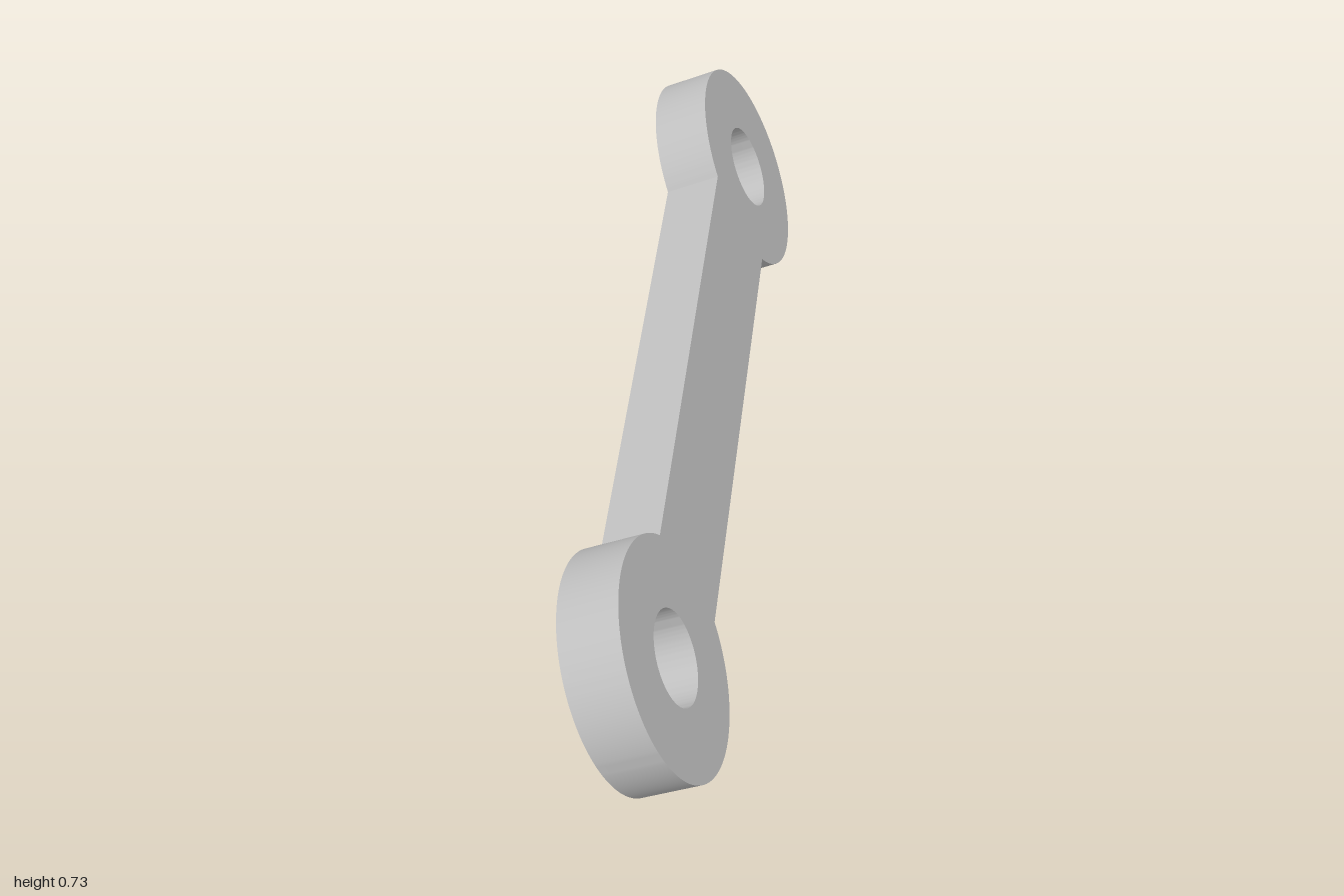
import * as THREE from 'three';
import { toCreasedNormals } from 'three/addons/utils/BufferGeometryUtils.js';

const RING = 0.2375, HOLE = 0.095, HALF_BAR = 0.126, THICK = 0.125;
const HALF_Z = 0.7625, HALF_V = 0.133; // ring centre offsets within the tilted plane
const TILT = THREE.MathUtils.degToRad(23.45);

export function createModel() {
  const model = new THREE.Group();
  const grey = new THREE.MeshStandardMaterial({ color: 0xc0c0c0 });
  grey.name = 'plain grey';

  // Outline: two round eyes joined by a straight bar
  const d = Math.hypot(HALF_Z, HALF_V);
  const phi = Math.asin(HALF_BAR / RING);
  const outline = new THREE.Shape();
  outline.absarc(d, 0, RING, phi - Math.PI, Math.PI - phi, false);
  outline.absarc(-d, 0, RING, phi, 2 * Math.PI - phi, false);
  outline.closePath();

  // Pin holes
  for (const x of [-d, d]) {
    const hole = new THREE.Path();
    hole.absarc(x, 0, HOLE, 0, Math.PI * 2, true);
    outline.holes.push(hole);
  }

  const geometry = new THREE.ExtrudeGeometry(outline, { depth: THICK, bevelEnabled: false, curveSegments: 64 });
  geometry.translate(0, 0, -THICK / 2);
  const link = new THREE.Mesh(toCreasedNormals(geometry, 0.5), grey);
  link.name = 'linkArm';

  // Lean the plate to one side, with its front eye lower than its back eye
  const normal = new THREE.Vector3(Math.cos(TILT), Math.sin(TILT), 0);
  const up = new THREE.Vector3(-Math.sin(TILT), Math.cos(TILT), 0);
  const along = new THREE.Vector3(0, 0, HALF_Z).addScaledVector(up, -HALF_V).normalize();
  const across = normal.clone().cross(along);
  link.quaternion.setFromRotationMatrix(new THREE.Matrix4().makeBasis(along, across, normal));
  link.position.y = (HALF_V + RING) * Math.cos(TILT) + (THICK / 2) * Math.sin(TILT);

  model.add(link);
  return model;
}
